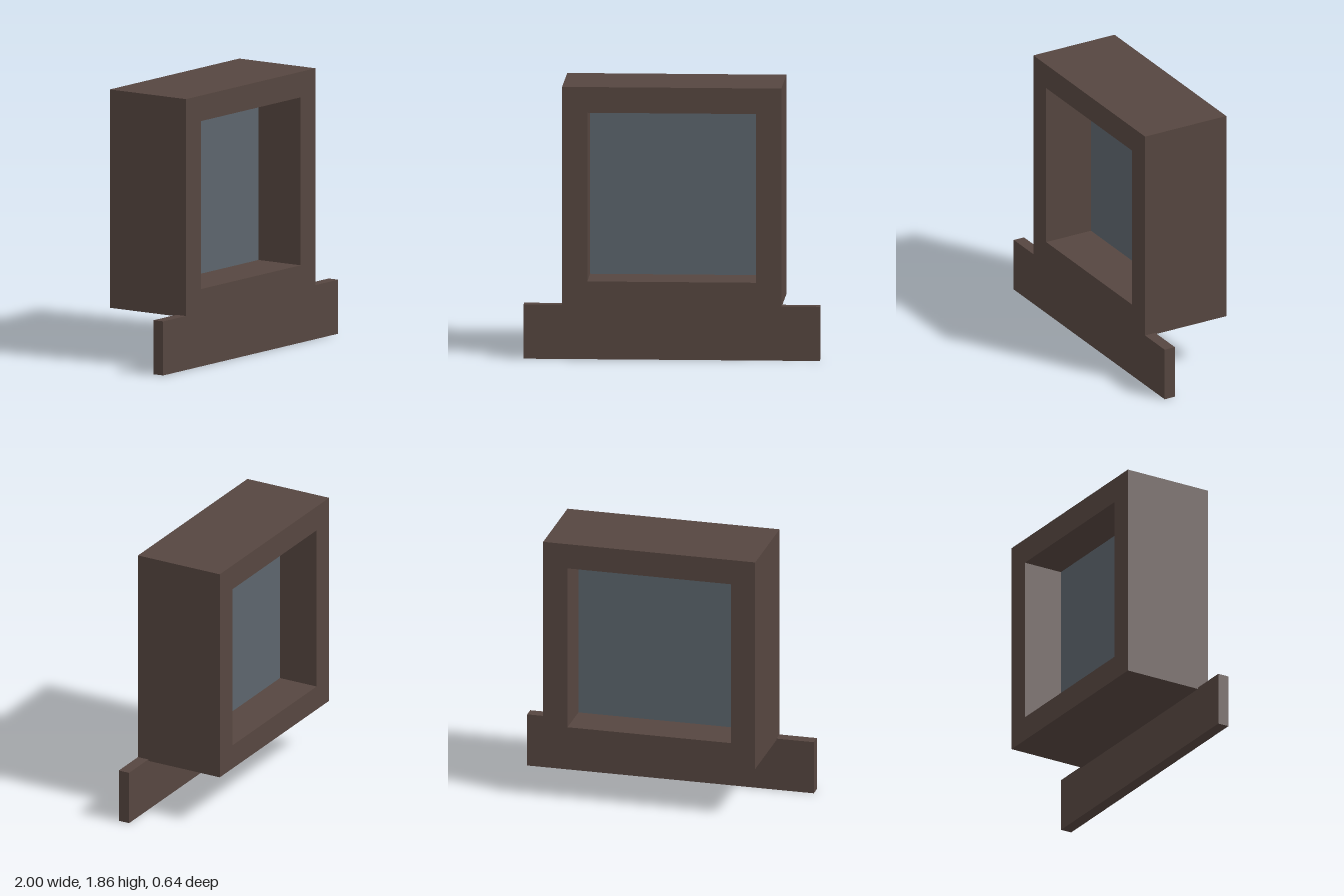
import * as THREE from 'three';

export function createModel() {
  const group = new THREE.Group();
  const wood = new THREE.MeshStandardMaterial({ color: 0x564640 });
  wood.name = 'dark brown wood';
  const glass = new THREE.MeshStandardMaterial({ color: 0x5c656d, side: THREE.DoubleSide });
  glass.name = 'blue grey glass';

  const add = (name, geometry, material, x, y, z) => {
    const mesh = new THREE.Mesh(geometry, material);
    mesh.name = name;
    mesh.position.set(x, y, z);
    group.add(mesh);
  };

  // Corner points of an upright rectangle
  const rectangle = (halfWidth, bottom, top) => [
    new THREE.Vector2(-halfWidth, bottom),
    new THREE.Vector2(halfWidth, bottom),
    new THREE.Vector2(halfWidth, top),
    new THREE.Vector2(-halfWidth, top),
  ];

  // Deep window frame with a rectangular opening
  const outline = new THREE.Shape(rectangle(0.74, 0.36, 1.855));
  outline.holes.push(new THREE.Path(rectangle(0.57, 0.53, 1.68)));
  const frame = new THREE.ExtrudeGeometry(outline, { depth: 0.636, bevelEnabled: false });
  add('windowFrame', frame, wood, 0, 0, -0.318);

  // Single pane set near the middle of the frame
  add('windowPane', new THREE.PlaneGeometry(1.14, 1.15), glass, 0, 1.105, -0.033);

  // Wide board below the frame, flush with its front
  add('apronBoard', new THREE.BoxGeometry(2, 0.37, 0.08), wood, 0, 0.185, 0.278);

  return group;
}
